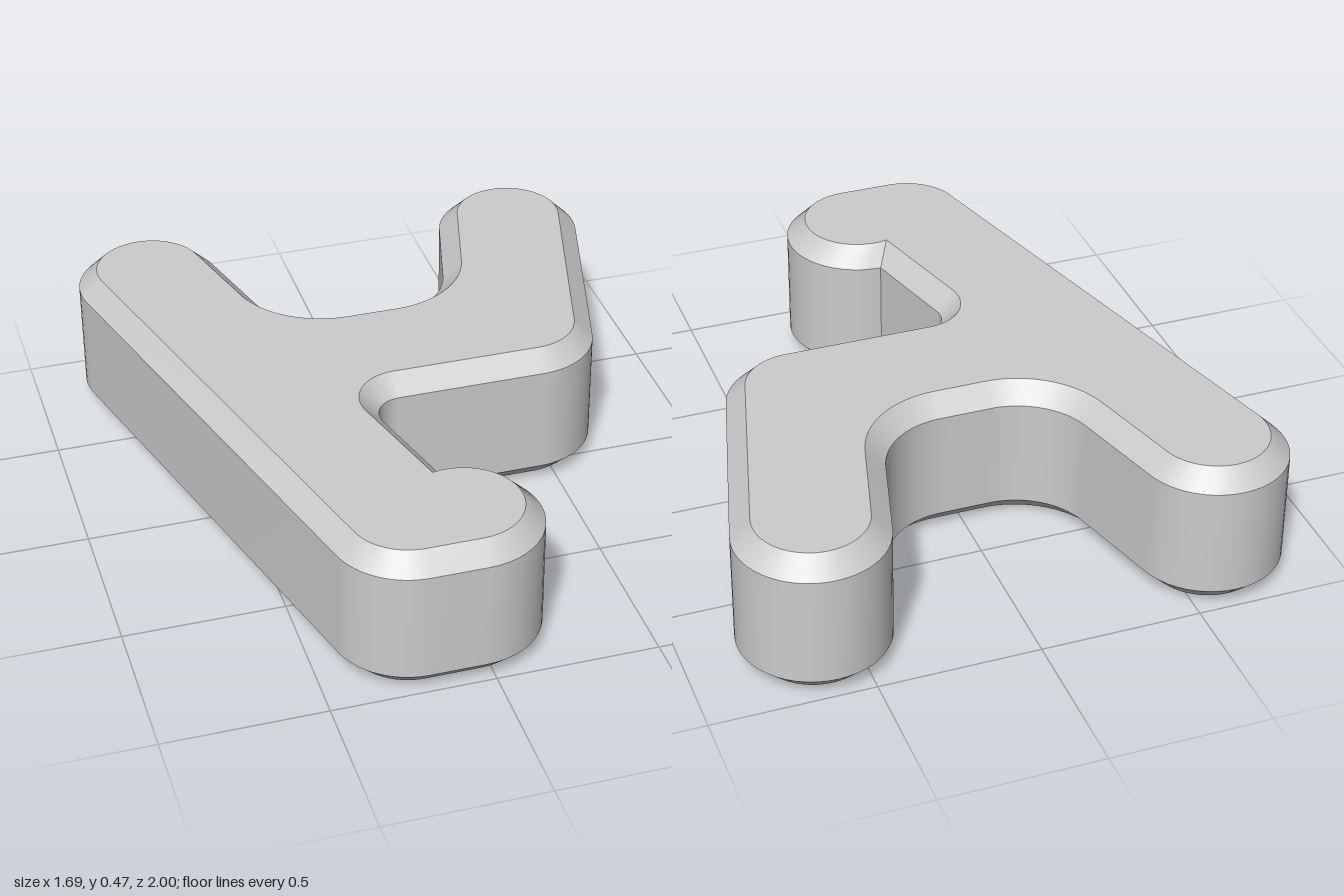
import * as THREE from 'three';
import { toCreasedNormals } from 'three/addons/utils/BufferGeometryUtils.js';

const BEVEL = 0.06;
const STEPS = 24;

// Outline as tangent arcs: centre x, centre z, radius, start and end angle (degrees), bend (1 outward, -1 inward)
const ARCS = [
  [-0.616, -0.77, 0.23, -15, -195, 1],   // back right tip
  [-0.2, 0.765, 0.235, 165, 90, 1],      // heel of the foot
  [-0.03, 0.765, 0.235, 90, -90, 1],     // toe of the foot
  [-0.03, 0.195, 0.085, 165, 270, -1],   // inner corner above the foot
  [0.44, -0.12, 0.23, 90, 15, 1],        // outer elbow
  [0.616, -0.77, 0.23, 15, -165, 1],     // back left tip
  [0.08, -0.596, 0.242, 15, 90, -1],     // valley, left half
  [-0.08, -0.596, 0.242, 90, 165, -1],   // valley, right half
];
const TOE = 2;
const TOE_EXTRA = -14.2; // the toe arc runs further round where the bevel meets the notch

// Outline loop drawn inwards by inset, counter-clockwise from above
function outline(inset) {
  const points = [];
  ARCS.forEach(([cx, cz, r, from, to, bend], k) => {
    const radius = r - bend * inset;
    const end = k === TOE ? to + TOE_EXTRA * inset / BEVEL : to;
    for (let i = 0; i <= STEPS; i++) {
      const a = THREE.MathUtils.degToRad(from + (end - from) * i / STEPS);
      points.push([cx + radius * Math.cos(a), cz + radius * Math.sin(a)]);
    }
  });
  return points;
}

function bevelledSlab(height) {
  const levels = [[0, BEVEL], [BEVEL, 0], [height - BEVEL, 0], [height, BEVEL]];
  const rings = levels.map(([, inset]) => outline(inset));
  const n = rings[0].length;
  const positions = [];
  const index = [];
  rings.forEach((ring, k) => ring.forEach(([x, z]) => positions.push(x, levels[k][0], z)));

  // Side wall and both bevels
  for (let k = 0; k < 3; k++) {
    for (let i = 0; i < n; i++) {
      const j = (i + 1) % n;
      const a = k * n + i, b = k * n + j;
      index.push(a, b, b + n, a, b + n, a + n);
    }
  }

  // Flat top and bottom
  const contour = rings[0].map(([x, z]) => new THREE.Vector2(x, -z));
  for (const [a, b, c] of THREE.ShapeUtils.triangulateShape(contour, [])) {
    index.push(3 * n + a, 3 * n + b, 3 * n + c, a, c, b);
  }

  const geometry = new THREE.BufferGeometry();
  geometry.setAttribute('position', new THREE.Float32BufferAttribute(positions, 3));
  geometry.setIndex(index);
  return toCreasedNormals(geometry, Math.PI / 6);
}

export function createModel() {
  const group = new THREE.Group();
  const material = new THREE.MeshStandardMaterial({ color: 0xcccccc });
  const body = new THREE.Mesh(bevelledSlab(0.47), material);
  body.name = 'bevelledBody';
  group.add(body);
  return group;
}
